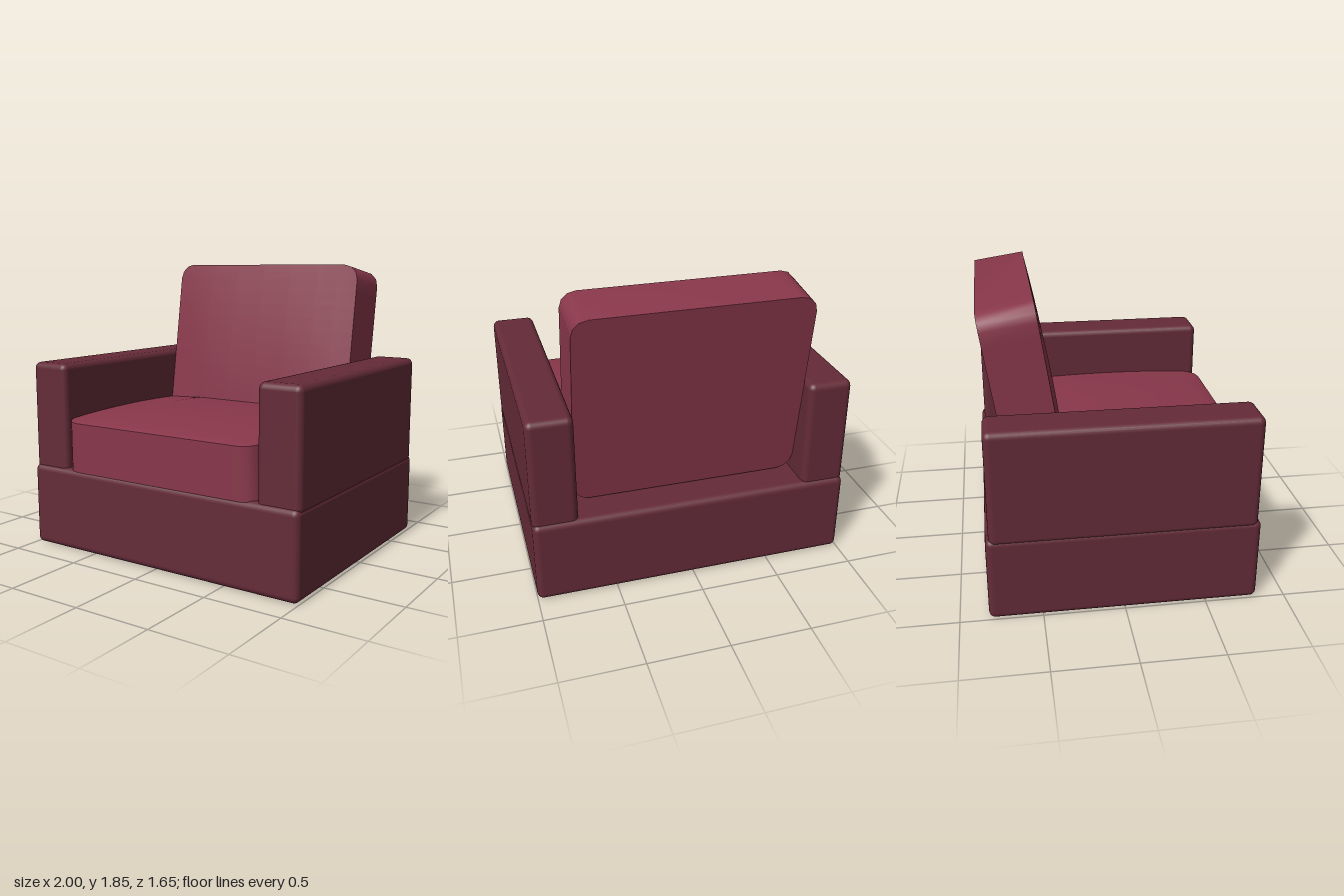
import * as THREE from 'three';
import { RoundedBoxGeometry } from 'three/addons/geometries/RoundedBoxGeometry.js';
import { toCreasedNormals } from 'three/addons/utils/BufferGeometryUtils.js';

const frameMaterial = new THREE.MeshStandardMaterial({ color: 0x642b38 });
const cushionMaterial = new THREE.MeshStandardMaterial({ color: 0x88374a });

// Soft-edged block spanning two corners
function block(name, min, max) {
  const size = max.map((v, i) => v - min[i]);
  const mesh = new THREE.Mesh(new RoundedBoxGeometry(...size, 3, 0.04), frameMaterial);
  mesh.position.set(...max.map((v, i) => (v + min[i]) / 2));
  mesh.name = name;
  return mesh;
}

// Cushion lying flat on y = 0: cross-sections lofted along z, with rounded
// plan corners and a crown that is level in the middle and falls to the sides
function cushion(name, halfWidth, thickness, length, { middle, side, power }) {
  const radius = 0.1, cornerSteps = 3, rows = [];
  for (let i = 0; i <= cornerSteps; i++) {
    const a = (i / cornerSteps) * Math.PI / 2;
    rows.push([radius * (1 - Math.cos(a)), halfWidth - radius * (1 - Math.sin(a))]);
  }
  const inner = 12, span = length - 2 * radius;
  for (let i = 1; i < inner; i++) rows.push([radius + span * i / inner, halfWidth]);
  for (let i = cornerSteps; i >= 0; i--) rows.push([length - rows[i][0], rows[i][1]]);

  const columns = [1, 0.8, 0.6, 0.3, 0, -0.3, -0.6, -0.8, -1];
  const points = [], index = [];
  const n = columns.length + 2;
  for (const [d, w] of rows) {
    const rise = Math.pow(Math.max(0, Math.sin(Math.PI * d / length)), power);
    const z = d - length / 2;
    points.push(-w, 0, z, w, 0, z);
    for (const u of columns) {
      const level = Math.min(1, (1 - Math.abs(u)) / 0.4);
      points.push(u * w, thickness + rise * (side + (middle - side) * level), z);
    }
  }
  for (let r = 0; r < rows.length - 1; r++) {
    for (let c = 0; c < n; c++) {
      const a = r * n + c, b = r * n + (c + 1) % n;
      index.push(a, b, b + n, a, b + n, a + n);
    }
  }
  // Flat ends
  const last = (rows.length - 1) * n;
  for (let c = 1; c < n - 1; c++) {
    index.push(0, c + 1, c, last, last + c, last + c + 1);
  }
  const geometry = new THREE.BufferGeometry();
  geometry.setAttribute('position', new THREE.Float32BufferAttribute(points, 3));
  geometry.setIndex(index);
  const mesh = new THREE.Mesh(toCreasedNormals(geometry, 0.65), cushionMaterial);
  mesh.name = name;
  return mesh;
}

export function createModel() {
  const chair = new THREE.Group();
  chair.name = 'armchair';

  // Plinth and arms
  chair.add(block('base', [-1, 0, -0.825], [1, 0.54, 0.825]));
  chair.add(block('leftArm', [0.72, 0.5, -0.805], [1, 1.22, 0.805]));
  chair.add(block('rightArm', [-1, 0.5, -0.805], [-0.72, 1.22, 0.805]));

  // Seat cushion
  const seat = cushion('seatCushion', 0.718, 0.32, 1.37, { middle: 0.055, side: 0.032, power: 0.6 });
  seat.position.set(0, 0.53, 0.135);
  chair.add(seat);

  // Back cushion, stood up and reclined
  const back = cushion('backCushion', 0.718, 0.335, 1.26, { middle: 0.026, side: 0, power: 0.9 });
  back.rotation.x = Math.PI / 2 - 0.152;
  back.position.set(0, 1.177, -0.714);
  chair.add(back);

  return chair;
}
